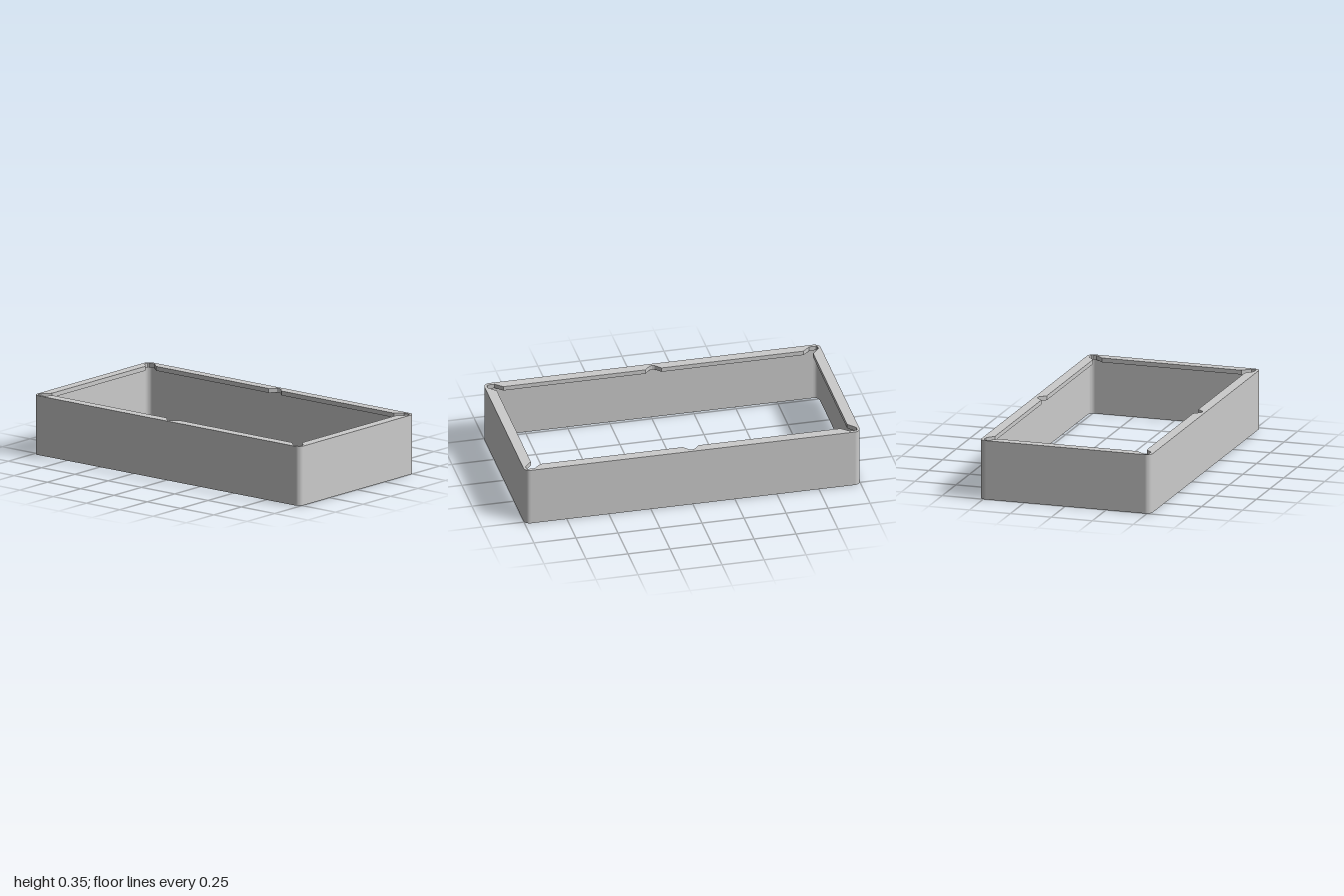
import * as THREE from 'three';

const W = 1, D = 0.523, H = 0.353, LIP = 0.026, WALL = 0.004, R = 0.036;

// Rectangle outline with rounded corners
function roundedOutline(PathType, w, d, r) {
  const p = new PathType();
  p.moveTo(w, -d + r);
  p.lineTo(w, d - r);
  p.absarc(w - r, d - r, r, 0, Math.PI / 2);
  p.absarc(-w + r, d - r, r, Math.PI / 2, Math.PI);
  p.absarc(-w + r, -d + r, r, Math.PI, Math.PI * 1.5);
  p.absarc(w - r, -d + r, r, Math.PI * 1.5, Math.PI * 2);
  p.closePath();
  return p;
}

// Inner edge of the lip: one quarter, mirrored around the frame
function lipOpening() {
  const quarter = [
    [0.941, 0], [0.941, 0.425], [0.984, 0.473], [0.984, 0.495], [0.978, 0.503], // side and corner relief
    [0.936, 0.503], [0.893, 0.463], [0.048, 0.463], [0.015, 0.499], [0, 0.503], // long edge and middle notch
  ];
  const points = [];
  for (const [sx, sz] of [[1, 1], [-1, 1], [-1, -1], [1, -1]]) {
    const run = quarter.map(([x, z]) => new THREE.Vector2(x * sx, z * sz));
    if (sx * sz < 0) run.reverse();
    points.push(...run.slice(0, -1)); // the next quarter starts at the shared point
  }
  return new THREE.Path(points);
}

// Extrude a holed outline upward from height y
function ring(name, hole, y, height) {
  const shape = roundedOutline(THREE.Shape, W, D, R);
  shape.holes.push(hole);
  const geometry = new THREE.ExtrudeGeometry(shape, { depth: height, bevelEnabled: false, curveSegments: 4 });
  geometry.rotateX(-Math.PI / 2);
  const mesh = new THREE.Mesh(geometry, new THREE.MeshStandardMaterial({ color: 0xcccccc, side: THREE.DoubleSide }));
  mesh.position.y = y;
  mesh.name = name;
  return mesh;
}

export function createModel() {
  const group = new THREE.Group();
  group.name = 'rectangularFrame';
  // Thin skirt walls, open below
  group.add(ring('skirtWall', roundedOutline(THREE.Path, W - WALL, D - WALL, R - WALL), 0, H - LIP));
  // Inward lip with corner reliefs and middle notches
  group.add(ring('topLip', lipOpening(), H - LIP, LIP));
  return group;
}
